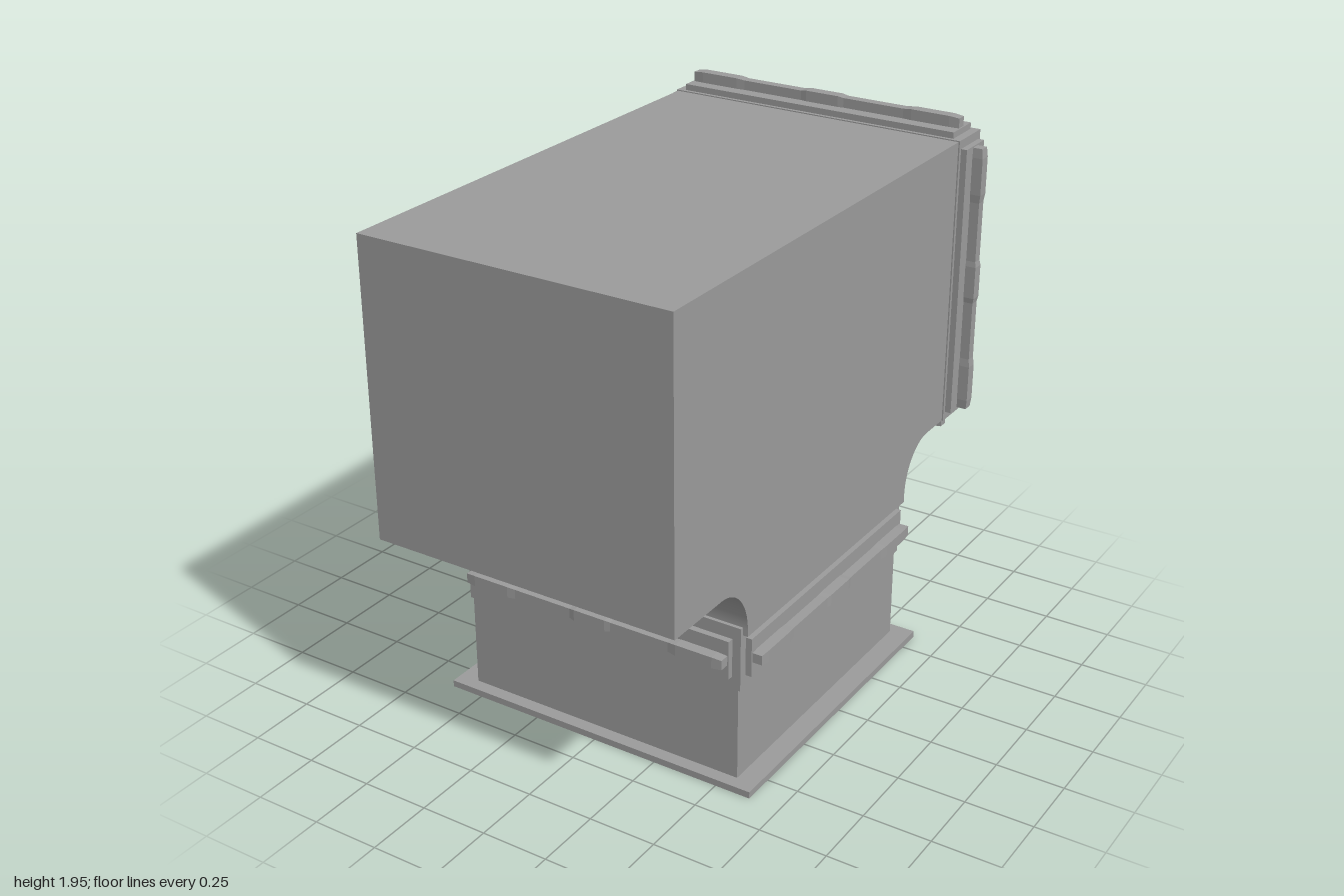
import * as THREE from 'three';

const color = 0x9b9b9b;
const mat = new THREE.MeshStandardMaterial({ color, flatShading: true, side: THREE.DoubleSide });
const smooth = new THREE.MeshStandardMaterial({ color, side: THREE.DoubleSide });
const XC = 0.004, ZC = 0.0175; // centre of the vertical neck

function add(parent, name, geo, x = 0, y = 0, z = 0, m = mat) {
  const mesh = new THREE.Mesh(geo, m);
  mesh.name = name;
  mesh.position.set(x, y, z);
  parent.add(mesh);
  return mesh;
}

function rect(Type, hx, hy) {
  return new Type([[-hx, -hy], [hx, -hy], [hx, hy], [-hx, hy]].map(p => new THREE.Vector2(...p)));
}

// Rectangular frame, extruded along z and centred on it
function frame(hx, hy, wall, depth) {
  const s = rect(THREE.Shape, hx, hy);
  s.holes.push(rect(THREE.Path, hx - wall, hy - wall));
  return new THREE.ExtrudeGeometry(s, { depth, bevelEnabled: false }).translate(0, 0, -depth / 2);
}

// The same frame lying flat, its depth along y
const flatFrame = (...size) => frame(...size).rotateX(-Math.PI / 2);

// Clamp bar along x with three slightly swollen sections
function clampBar(half) {
  const t = [-1, -0.93, -0.66, -0.6, -0.16, -0.12, 0.12, 0.16, 0.6, 0.66, 0.93, 1];
  const swell = [0, 1, 1, 0, 0, 1, 1, 0, 0, 1, 1, 0];
  const g = new THREE.BoxGeometry(11, 1, 1, 11, 1, 1);
  const p = g.attributes.position;
  for (let i = 0; i < p.count; i++) {
    const k = Math.round(p.getX(i) + 5.5);
    const top = p.getY(i) > 0 ? 0.036 + 0.004 * swell[k] : -0.005;
    p.setXYZ(i, t[k] * half, top, p.getZ(i) * (0.036 + 0.006 * swell[k]));
  }
  g.computeVertexNormals();
  return g;
}

// Joint frame with a raised plate and a clamp bar on each of the four sides
function joint(name, hx, hy, depth, plateDepth) {
  const g = new THREE.Group();
  g.name = name;
  add(g, 'jointFrame', frame(hx, hy, 0.035, depth));
  for (let i = 0; i < 4; i++) {
    const side = new THREE.Group();
    side.name = 'clampSide';
    side.rotation.z = i * Math.PI / 2;
    const [dist, half] = i % 2 ? [hx, hy] : [hy, hx];
    add(side, 'clampPlate', new THREE.BoxGeometry((half - 0.032) * 2, 0.03, plateDepth), 0, dist + 0.008, 0);
    add(side, 'clampBar', clampBar(half - 0.037), 0, dist + 0.023, 0);
    g.add(side);
  }
  return g;
}

export function createModel() {
  const model = new THREE.Group();
  model.name = 'ductTee';

  // Main duct: side profile (z, y) with curved flares into the neck
  const flares = { front: [0.73, 0.165], back: [-0.71, 0.167] }; // centre z, radius z
  const flareY = 0.61, flareH = 0.193;
  const s = new THREE.Shape();
  s.moveTo(1, flareY + flareH);
  s.lineTo(1, 1.885);
  s.lineTo(-0.81, 1.885);
  s.lineTo(-0.81, flareY + flareH);
  s.absellipse(flares.back[0], flareY, flares.back[1], flareH, Math.PI / 2, 0, true);
  s.lineTo(-0.543, 0.587);
  s.lineTo(0.565, 0.587);
  s.absellipse(flares.front[0], flareY, flares.front[1], flareH, Math.PI, Math.PI / 2, true);
  const duct = new THREE.ExtrudeGeometry(s, { depth: 1.17, bevelEnabled: false, curveSegments: 20 });
  duct.translate(0, 0, -0.585).rotateY(-Math.PI / 2);
  // Smooth normals on the flares
  const p = duct.attributes.position, n = duct.attributes.normal, v = new THREE.Vector3();
  for (let i = 0; i < p.count; i++) {
    if (Math.abs(n.getY(i)) < 0.02 || Math.abs(n.getZ(i)) < 0.02) continue;
    const z = p.getZ(i), [cz, r] = z > 0 ? flares.front : flares.back;
    v.set(0, (flareY - p.getY(i)) / flareH ** 2, (cz - z) / r ** 2).normalize();
    n.setXYZ(i, v.x, v.y, v.z);
  }
  add(model, 'mainDuct', duct, 0, 0, 0, smooth);

  // Open rear joint, with a short throat in front of the closing panel
  add(model, 'rearThroat', frame(0.585, 0.541, 0.03, 0.024), 0, 1.344, -0.82);
  const rear = joint('rearJoint', 0.59, 0.543, 0.167, 0.14);
  rear.position.set(0, 1.346, -0.9135);
  model.add(rear);

  // Neck joint, lying flat
  const collar = joint('neckJoint', 0.563, 0.561, 0.24, 0.145);
  collar.rotation.x = -Math.PI / 2;
  collar.position.set(XC, 0.497, ZC);
  model.add(collar);

  // Neck walls and the closed panel behind the diffuser
  add(model, 'neck', flatFrame(0.553, 0.557, 0.023, 0.58), XC, 0.3, ZC);
  add(model, 'neckPanel', new THREE.BoxGeometry(1.08, 0.02, 1.08), XC, 0.1, ZC);

  // Ceiling diffuser: flange, nested square rings and cross rods
  const diffuser = new THREE.Group();
  diffuser.name = 'diffuser';
  diffuser.position.set(XC, 0, ZC);
  model.add(diffuser);
  add(diffuser, 'flange', flatFrame(0.63, 0.605, 0.09, 0.025), 0, 0.0125, 0);
  for (let i = 0; i < 5; i++) {
    const r = 0.095 + i * 0.095;
    add(diffuser, 'diffuserRing', flatFrame(r, r, 0.042, 0.06), 0, 0.035, 0);
  }
  for (let i = 0; i < 4; i++) {
    const a = i * Math.PI / 2;
    const rod = add(diffuser, 'crossRod', new THREE.BoxGeometry(0.45, 0.018, 0.018),
      Math.cos(a) * 0.305, 0.03, -Math.sin(a) * 0.305);
    rod.rotation.y = a;
  }
  return model;
}
